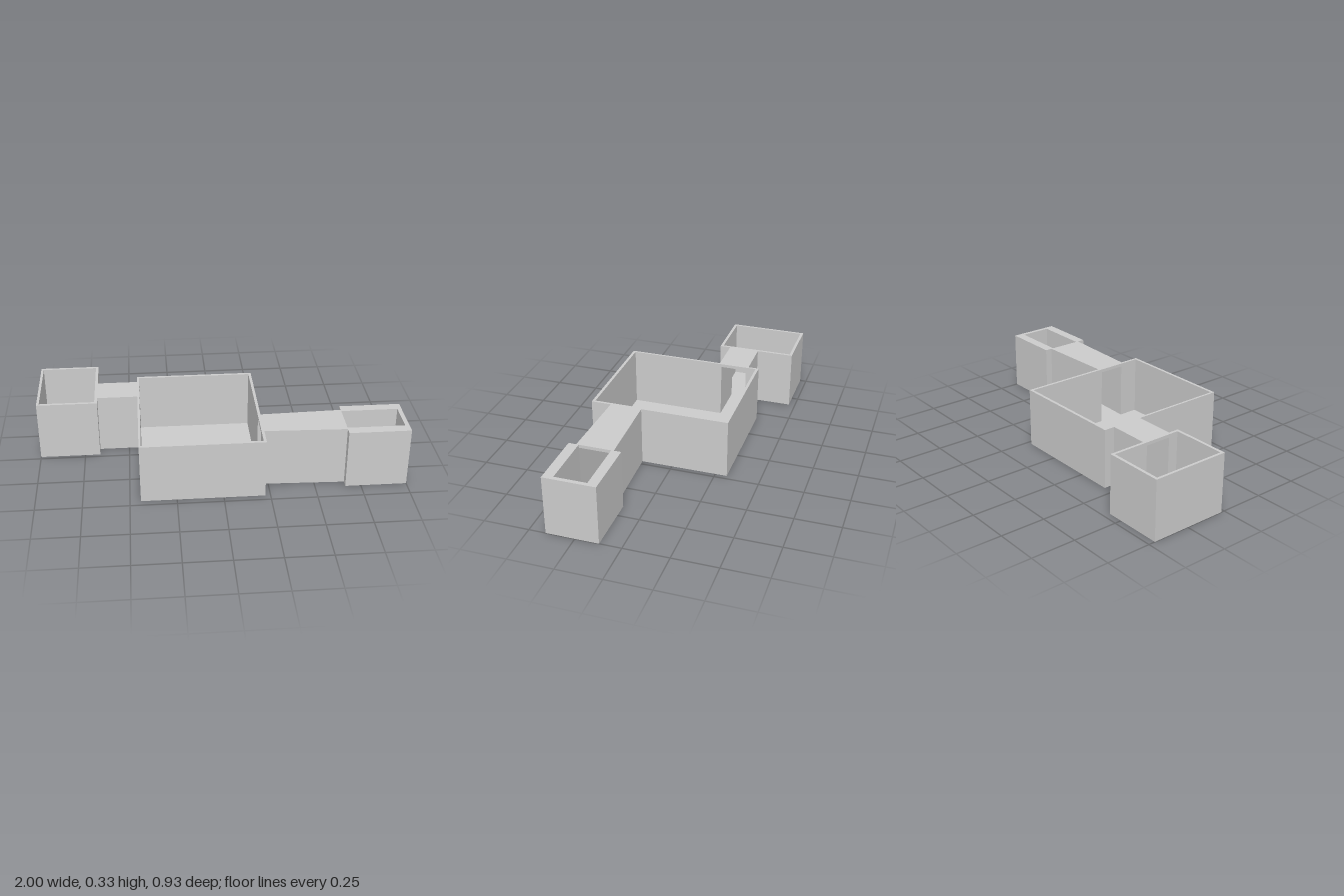
import * as THREE from 'three';

const H = 0.334;      // wall height
const FLOOR = 0.003;  // floor slab thickness
const ROOF = 0.316;   // underside of corridor ceilings
const solid = new THREE.MeshStandardMaterial({ color: 0xcccccc });
const open = new THREE.MeshStandardMaterial({ color: 0xcccccc, side: THREE.DoubleSide });

// Raises a plan outline of [x, z] points from y0 to y1.
function slab(name, plan, y0, y1) {
  const shape = new THREE.Shape(plan.map(([x, z]) => new THREE.Vector2(x, -z)));
  const geometry = new THREE.ExtrudeGeometry(shape, { depth: y1 - y0, bevelEnabled: false });
  geometry.rotateX(-Math.PI / 2).translate(0, y0, 0);
  const mesh = new THREE.Mesh(geometry, solid);
  mesh.name = name;
  return mesh;
}

// A full-height wall run, hollow underneath and visible from both sides.
function wall(name, plan) {
  const mesh = slab(name, plan, 0, H);
  const n = mesh.geometry.attributes.normal, kept = [];
  for (let i = 0; i < n.count; i += 3) {
    if (n.getY(i) > -0.5) kept.push(i, i + 1, i + 2);
  }
  mesh.geometry.clearGroups();
  mesh.geometry.setIndex(kept);
  mesh.material = open;
  return mesh;
}

const rect = (x0, x1, z0, z1) => [[x0, z0], [x1, z0], [x1, z1], [x0, z1]];

function group(name, ...parts) {
  const g = new THREE.Group();
  g.name = name;
  return g.add(...parts);
}

// Corridor: inner z limits a at x0 and b at x1, with side walls of thickness t.
// in0 and in1 carry ceiling and floor through the doorways to the room interiors.
function corridor(name, x0, x1, in0, in1, a, b, t) {
  const inner = [[in0, a[0]], [x0, a[0]], [x1, b[0]], [in1, b[0]],
    [in1, b[1]], [x1, b[1]], [x0, a[1]], [in0, a[1]]];
  const side = (k, s) => [[x0, a[k]], [x1, b[k]], [x1, b[k] + s * t], [x0, a[k] + s * t]];
  return group(name,
    slab('corridorCeiling', inner, ROOF, H),
    slab('corridorFloor', inner, 0, FLOOR),
    wall('corridorBackWall', side(0, -1)),
    wall('corridorFrontWall', side(1, 1)));
}

export function createModel() {
  const model = new THREE.Group();
  model.name = 'connectedRooms';
  const west = [-0.241, -0.093]; // doorway limits in z
  const east = [0.188, 0.337];
  const eastEnd = [0.174, 0.352];

  // Main room: two wall runs between its two doorways
  const backRun = [[-0.442, west[0]], [-0.442, -0.315], [0.222, -0.315], [0.222, east[0]],
    [0.207, east[0]], [0.207, -0.299], [-0.43, -0.299], [-0.43, west[0]]];
  const frontRun = [[-0.442, west[1]], [-0.442, 0.463], [0.222, 0.463], [0.222, east[1]],
    [0.207, east[1]], [0.207, 0.447], [-0.43, 0.447], [-0.43, west[1]]];
  model.add(group('mainRoom',
    wall('mainBackWalls', backRun),
    wall('mainFrontWalls', frontRun),
    slab('mainFloor', rect(-0.43, 0.207, -0.299, 0.447), 0, FLOOR)));

  // Side room on the right, open towards the main room
  model.add(group('rightRoom',
    wall('rightRoomWalls', [[-0.666, west[0]], [-0.666, -0.463], [-1, -0.463], [-1, -0.02],
      [-0.666, -0.02], [-0.666, west[1]], [-0.681, west[1]], [-0.681, -0.036],
      [-0.986, -0.036], [-0.986, -0.447], [-0.681, -0.447], [-0.681, west[0]]]),
    slab('rightRoomFloor', rect(-0.986, -0.681, -0.447, -0.036), 0, FLOOR)));

  // Small room on the left with thick side walls and one fully open end
  model.add(group('leftRoom',
    wall('leftRoomWalls', [[0.665, eastEnd[0]], [0.665, 0.12], [1, 0.12], [1, 0.408],
      [0.665, 0.408], [0.665, eastEnd[1]], [0.977, eastEnd[1]], [0.977, eastEnd[0]]]),
    slab('leftRoomFloor', rect(0.666, 0.977, ...eastEnd), 0, FLOOR)));

  // Corridors: a straight one, and one that widens outwards
  model.add(corridor('rightCorridor', -0.666, -0.442, -0.681, -0.43, west, west, 0.013));
  model.add(corridor('leftCorridor', 0.222, 0.665, 0.207, 0.666, east, eastEnd, 0.014));
  return model;
}
